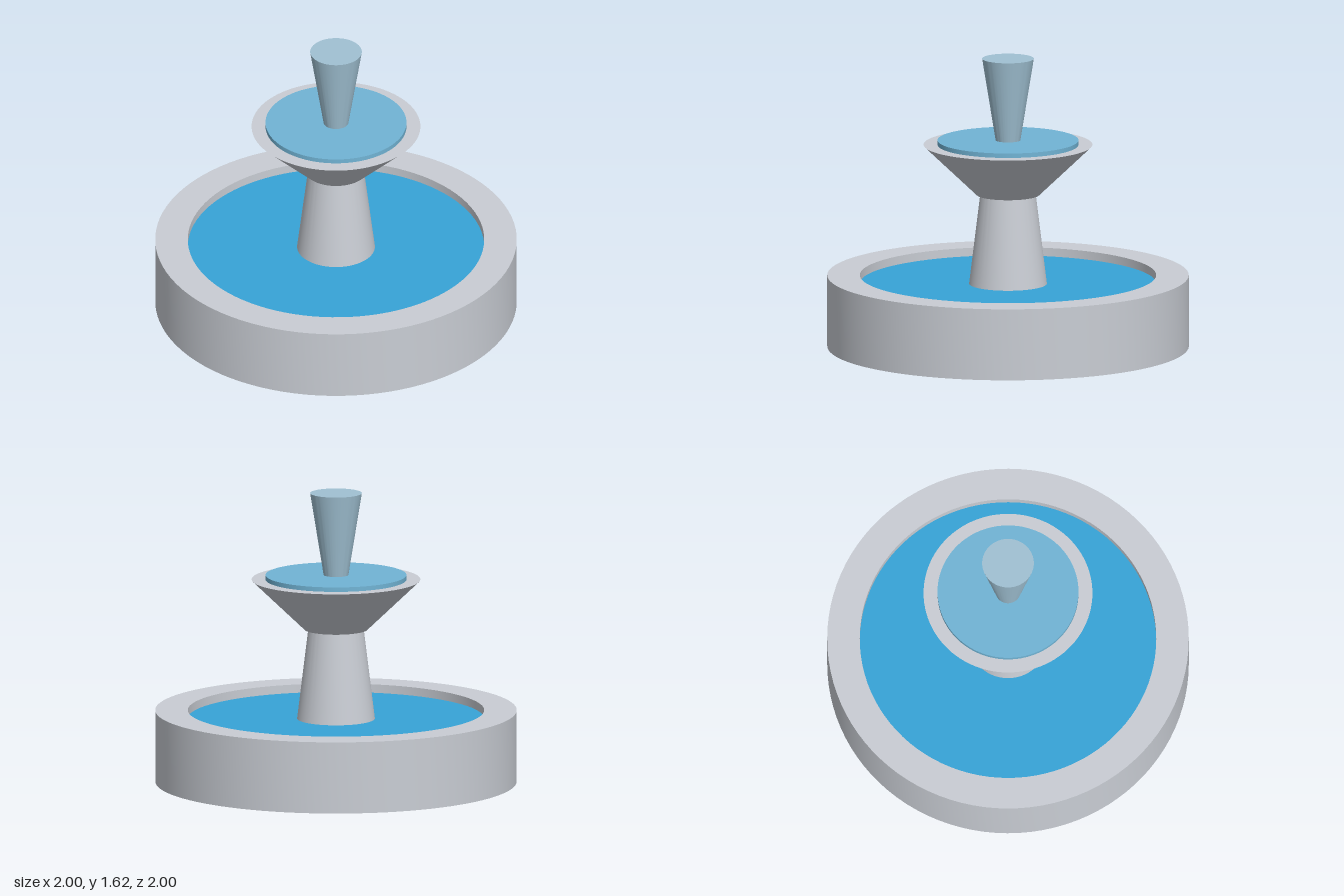
import * as THREE from 'three';
import { toCreasedNormals } from 'three/addons/utils/BufferGeometryUtils.js';

const SEGMENTS = 96;

function material(name, color) {
  const m = new THREE.MeshStandardMaterial({ color });
  m.name = name;
  return m;
}

// Turned part from [radius, height] points, listed from bottom to top, with crisp edges
function turned(name, points, mat) {
  const profile = points.map(([r, y]) => new THREE.Vector2(r, y));
  const geometry = toCreasedNormals(new THREE.LatheGeometry(profile, SEGMENTS), 0.5);
  const mesh = new THREE.Mesh(geometry, mat);
  mesh.name = name;
  return mesh;
}

// Closed cone section between two heights
function taper(name, bottomRadius, bottomY, topRadius, topY, mat) {
  return turned(name, [[0, bottomY], [bottomRadius, bottomY], [topRadius, topY], [0, topY]], mat);
}

export function createModel() {
  const stone = material('stone', 0xc9cdd4);
  const poolBlue = material('pool water', 0x37a4d7);
  const bowlBlue = material('bowl water', 0x71b4d5);
  const sprayBlue = material('spray water', 0xa0c1d3);

  const fountain = new THREE.Group();
  fountain.name = 'fountain';

  fountain.add(
    // Hollow basin with a broad flat rim
    turned('basin', [[0, 0], [1, 0], [1, 0.4], [0.82, 0.4], [0.82, 0.3], [0, 0.3]], stone),
    taper('poolWater', 0.82, 0.31, 0.82, 0.353, poolBlue),

    // Pedestal and flared upper bowl
    taper('pedestal', 0.217, 0.34, 0.153, 0.86, stone),
    taper('upperBowl', 0.175, 0.855, 0.467, 1.135, stone),

    // Raised water disc and the flaring jet above it
    taper('upperWater', 0.39, 1.12, 0.39, 1.16, bowlBlue),
    taper('waterJet', 0.067, 1.15, 0.143, 1.62, sprayBlue),
  );

  return fountain;
}
